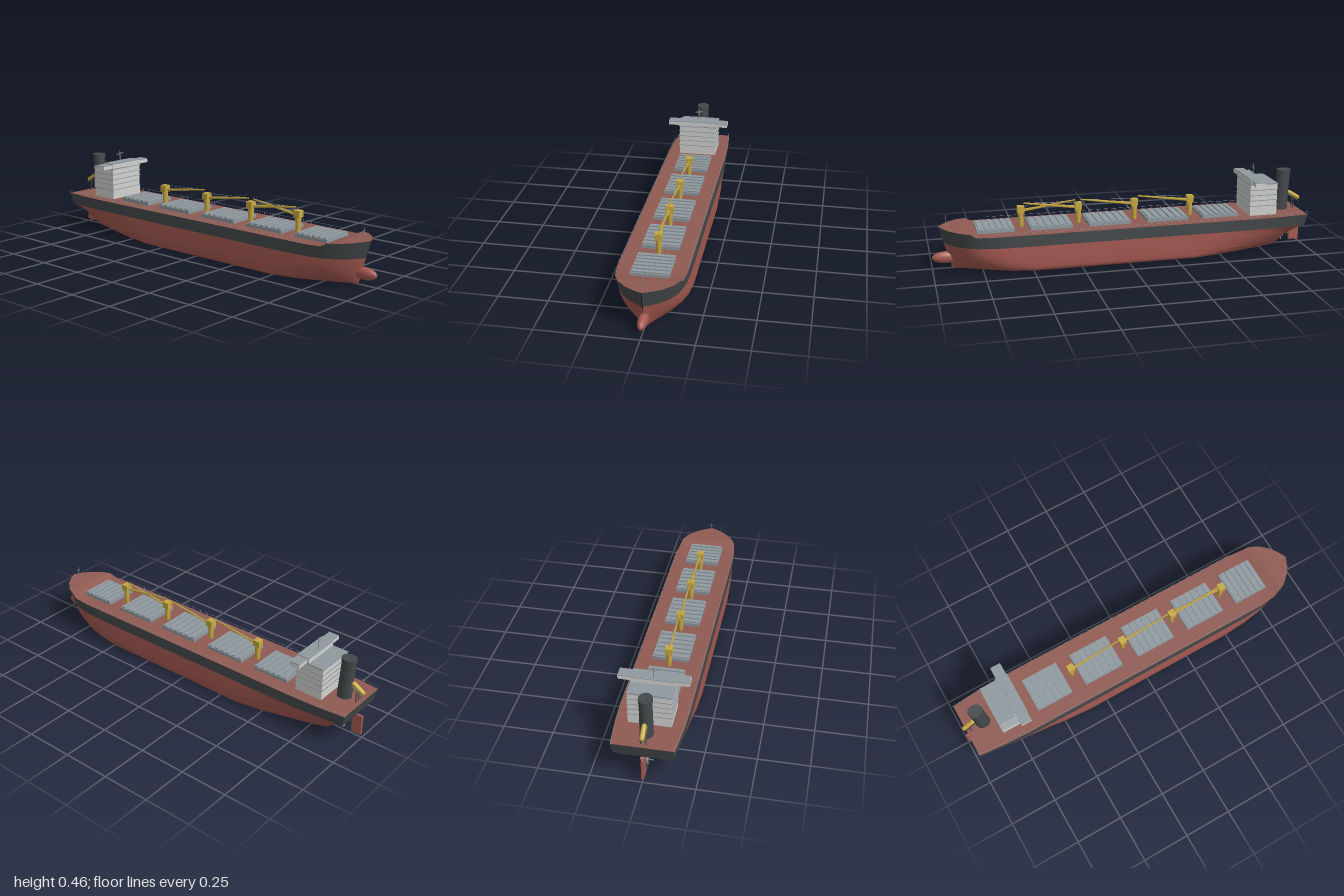
import * as THREE from 'three';
import { toCreasedNormals } from 'three/addons/utils/BufferGeometryUtils.js';

const paint = (name, color) => {
  const m = new THREE.MeshStandardMaterial({ color });
  m.name = name;
  return m;
};
const V = (x, y, z) => new THREE.Vector3(x, y, z);

export function createModel() {
  const red = paint('hull red', 0xa65a52), dark = paint('topside grey', 0x45494b);
  const deckRed = paint('deck red', 0x8f5a52), white = paint('house white', 0xd2d3d0);
  const grey = paint('steel grey', 0x8f999f), yellow = paint('crane yellow', 0xc8aa42);
  const ship = new THREE.Group();
  ship.name = 'cargoShip';

  const add = (name, geo, mat, x = 0, y = 0, z = 0, parent = ship) => {
    const m = new THREE.Mesh(geo, mat);
    m.name = name;
    m.position.set(x, y, z);
    parent.add(m);
    return m;
  };
  // Box given by its x, y and z extents
  const box = (name, mat, x0, x1, y0, y1, z0, z1, parent) =>
    add(name, new THREE.BoxGeometry(x1 - x0, y1 - y0, z1 - z0), mat,
      (x0 + x1) / 2, (y0 + y1) / 2, (z0 + z1) / 2, parent);
  // Round or square bar between two points
  const bar = (name, mat, a, b, r0, r1 = r0, sides = 6, parent = ship) => {
    const m = add(name, new THREE.CylinderGeometry(r1, r0, a.distanceTo(b), sides), mat, 0, 0, 0, parent);
    m.position.copy(a).lerp(b, 0.5);
    m.quaternion.setFromUnitVectors(V(0, 1, 0), b.clone().sub(a).normalize());
    return m;
  };
  // Surface through rows of points
  const loft = (name, mat, rows) => {
    const n = rows[0].length, pos = [], idx = [];
    rows.forEach(r => r.forEach(p => pos.push(p.x, p.y, p.z)));
    for (let i = 0; i < rows.length - 1; i++)
      for (let j = 0; j < n - 1; j++) {
        const a = i * n + j, b = a + n;
        idx.push(a, b, a + 1, b, b + 1, a + 1);
      }
    const g = new THREE.BufferGeometry();
    g.setAttribute('position', new THREE.Float32BufferAttribute(pos, 3));
    g.setIndex(idx);
    return add(name, toCreasedNormals(g, 0.6), mat);
  };

  // Hull stations: x, keel height, deck height, half widths at deck, waterline and bottom, fullness
  const WL = 0.135;
  const stations = [
    [-0.965, 0.127, 0.195, 0.150, 0.142, 0.09, 1],
    [-0.900, 0.070, 0.195, 0.157, 0.148, 0.02, 1],
    [-0.830, 0.000, 0.195, 0.163, 0.156, 0.006, 1],
    [-0.700, 0.000, 0.195, 0.168, 0.165, 0.045, 1.7],
    [-0.500, 0.000, 0.195, 0.168, 0.168, 0.110, 5],
    [-0.350, 0.000, 0.195, 0.168, 0.168, 0.146, 14],
    [0.500, 0.000, 0.195, 0.168, 0.168, 0.146, 14],
    [0.620, 0.000, 0.195, 0.168, 0.167, 0.110, 6],
    [0.700, 0.000, 0.195, 0.168, 0.162, 0.075, 3],
    [0.770, 0.000, 0.197, 0.160, 0.145, 0.045, 1.8],
    [0.790, 0.000, 0.214, 0.153, 0.136, 0.037, 1.6],
    [0.825, 0.000, 0.217, 0.130, 0.110, 0.024, 1.3],
    [0.860, 0.000, 0.219, 0.085, 0.068, 0.012, 1],
    [0.883, 0.000, 0.221, 0.040, 0.030, 0.006, 1],
    [0.900, 0.000, 0.222, 0.002, 0.002, 0.001, 1],
  ];
  // Raked stem and transom
  const point = (s, y, z) => {
    const bow = THREE.MathUtils.smoothstep(s[0], 0.7, 0.9) * 0.06 * y / 0.22;
    const stern = Math.max(0, -0.9 - s[0]) / 0.065 * 0.016 * (y - 0.127) / 0.068;
    return V(s[0] + bow - stern, y, z);
  };
  const levels = [0, 0.02, 0.05, 0.1, 0.17, 0.3, 0.5, 0.75, 1];
  const lower = stations.map(s => {
    const side = levels.map(f => [s[1] + (WL - s[1]) * f,
      s[5] + (s[4] - s[5]) * Math.sqrt(1 - (1 - f) ** s[6])]);
    return [...side.slice().reverse().map(([y, z]) => point(s, y, -z)),
      point(s, s[1], 0), ...side.map(([y, z]) => point(s, y, z))];
  });
  loft('lowerHull', red, lower);
  loft('leftTopside', dark, stations.map(s => [point(s, s[2], -s[3]), point(s, WL, -s[4])])).name = 'rightTopside';
  loft('leftTopside', dark, stations.map(s => [point(s, WL, s[4]), point(s, s[2], s[3])]));
  loft('deck', deckRed, stations.map(s => [point(s, s[2], s[3]), point(s, s[2], 0), point(s, s[2], -s[3])]));
  const s0 = stations[0];
  const rim = [point(s0, s0[2], 0), point(s0, s0[2], -s0[3]), ...lower[0],
    point(s0, s0[2], s0[3]), point(s0, s0[2], 0)];
  loft('transom', dark, [rim.map(() => point(s0, 0.165, 0)), rim]);

  // Bulbous bow, rudder and propeller
  add('bulbousBow', new THREE.SphereGeometry(1, 24, 16), red, 0.93, 0.058, 0).scale.set(0.07, 0.031, 0.024);
  box('rudder', red, -0.995, -0.94, 0.015, 0.122, -0.006, 0.006);
  bar('rudderStock', grey, V(-0.955, 0.115, 0), V(-0.955, 0.16, 0), 0.006);
  bar('propellerShaft', grey, V(-0.905, 0.047, 0), V(-0.82, 0.047, 0), 0.007, 0.007, 10);
  for (let i = 0; i < 4; i++) {
    const hub = new THREE.Group();
    hub.name = 'propellerBlade';
    hub.position.set(-0.895, 0.047, 0);
    hub.rotation.x = i * Math.PI / 2;
    ship.add(hub);
    const blade = add('blade', new THREE.SphereGeometry(1, 10, 8), grey, 0, 0.018, 0, hub);
    blade.scale.set(0.003, 0.016, 0.009);
    blade.rotation.y = 0.6;
  }

  // Cargo hatches with cross ribs
  [[-0.61, -0.41], [-0.33, -0.11], [-0.02, 0.2], [0.285, 0.505], [0.585, 0.775]].forEach(([a, b]) => {
    box('hatchCover', grey, a, b, 0.19, 0.212, -0.092, 0.092);
    const step = (b - a) / 6;
    for (let i = 0; i < 6; i++) {
      const x = a + step * (i + 0.5);
      box('hatchRib', grey, x - step * 0.3, x + step * 0.3, 0.21, 0.218, -0.088, 0.088);
    }
  });

  // Deck cranes; the last one faces aft
  [[-0.365, 1], [-0.06, 1], [0.24, 1], [0.54, -1]].forEach(([x, d]) => {
    const crane = new THREE.Group();
    crane.name = 'deckCrane';
    ship.add(crane);
    bar('cranePost', yellow, V(x, 0.19, 0), V(x, 0.268, 0), 0.012, 0.016, 12, crane);
    box('craneCab', yellow, x - 0.018, x + 0.018, 0.268, 0.303, -0.018, 0.018, crane);
    const tip = V(x + d * 0.285, 0.317, 0);
    bar('craneJib', yellow, V(x + d * 0.015, 0.279, 0), tip, 0.008, 0.004, 4, crane);
    bar('craneCable', grey, V(x, 0.303, 0), tip, 0.001, 0.001, 4, crane);
  });

  // Accommodation block, bridge and wings
  box('accommodation', white, -0.82, -0.67, 0.19, 0.366, -0.104, 0.104);
  [0.247, 0.277, 0.305, 0.334, 0.364].forEach(y =>
    box('floorSlab', grey, -0.823, -0.667, y - 0.0015, y + 0.0015, -0.108, 0.108));
  box('accommodationRoof', grey, -0.82, -0.67, 0.365, 0.369, -0.105, 0.105);
  box('bridge', white, -0.738, -0.67, 0.366, 0.392, -0.104, 0.104);
  box('bridgeRoof', grey, -0.738, -0.67, 0.392, 0.395, -0.104, 0.104);
  box('bridgeWings', white, -0.728, -0.672, 0.369, 0.388, -0.17, 0.17);
  box('wingRoof', grey, -0.728, -0.672, 0.388, 0.391, -0.17, 0.17);
  bar('radarMast', grey, V(-0.72, 0.39, 0), V(-0.72, 0.456, 0), 0.002);
  bar('radarBar', grey, V(-0.72, 0.44, -0.026), V(-0.72, 0.44, 0.026), 0.0015);
  bar('radarBar', grey, V(-0.72, 0.433, -0.021), V(-0.72, 0.433, 0.021), 0.0015);

  // Oval funnel leaning slightly aft
  const lean = g => g.applyMatrix4(new THREE.Matrix4().set(1, -0.05, 0, 0, 0, 1, 0, 0, 0, 0, 0.85, 0, 0, 0, 0, 1));
  add('funnel', lean(new THREE.CylinderGeometry(0.036, 0.038, 0.21, 24)), dark, -0.889, 0.295, 0);
  add('funnelCap', lean(new THREE.CylinderGeometry(0.039, 0.039, 0.02, 24)), dark, -0.895, 0.405, 0);

  // Stern lifeboat on its launching ramp
  const boat = add('lifeboat', new THREE.CapsuleGeometry(0.012, 0.06, 6, 12), yellow, -0.957, 0.268, 0);
  boat.rotation.z = -1.02;
  for (const z of [-0.012, 0.012]) {
    bar('rampRail', dark, V(-0.985, 0.235, z), V(-0.915, 0.278, z), 0.003);
    bar('rampLeg', dark, V(-0.955, 0.19, z), V(-0.955, 0.255, z), 0.003);
  }

  // Foremast
  bar('foremast', grey, V(0.92, 0.215, 0), V(0.92, 0.282, 0), 0.0015);
  bar('foremastBar', grey, V(0.92, 0.262, -0.01), V(0.92, 0.262, 0.01), 0.0012);

  // Deck rails
  for (const side of [-1, 1]) {
    const edge = stations.slice(0, 9).map(s => point(s, 0.209, side * (s[3] - 0.003)));
    for (let i = 0; i < edge.length - 1; i++) {
      bar('deckRail', grey, edge[i], edge[i + 1], 0.0008, 0.0008, 4);
      const count = Math.max(1, Math.round(edge[i].distanceTo(edge[i + 1]) / 0.05));
      for (let k = 0; k < count; k++) {
        const p = edge[i].clone().lerp(edge[i + 1], k / count);
        bar('railPost', grey, V(p.x, 0.194, p.z), p, 0.0008, 0.0008, 4);
      }
    }
  }
  return ship;
}
